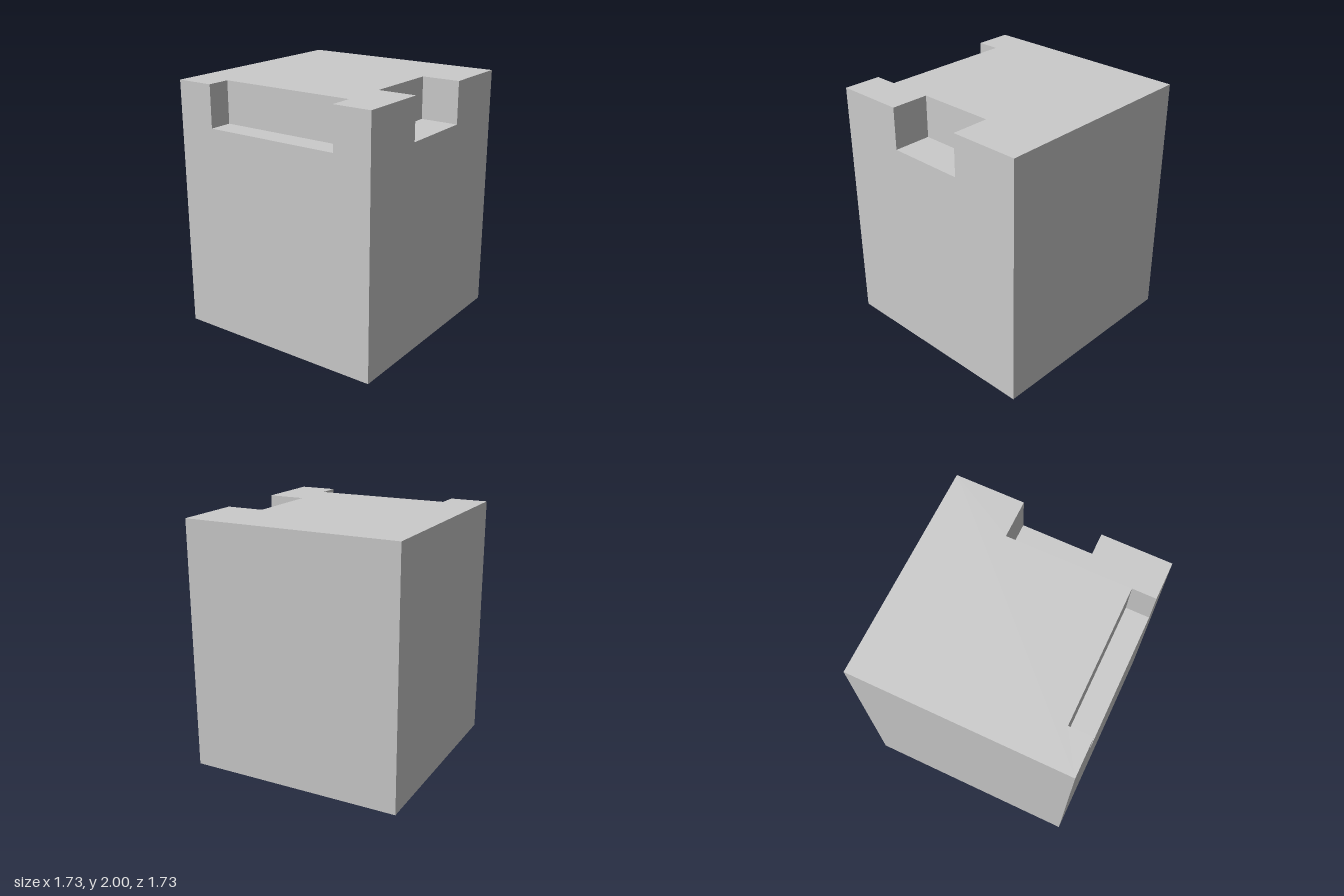
import * as THREE from 'three';

const H = 2, R = 0.863, FLOOR = 1.667, DROP = H - FLOOR;
const material = new THREE.MeshStandardMaterial({ color: 0xcccccc, side: THREE.DoubleSide, flatShading: true });

// Flat sheet in the xy plane, facing +z
function sheet(name, points) {
  const shape = new THREE.Shape(points.map(([x, y]) => new THREE.Vector2(x, y)));
  const mesh = new THREE.Mesh(new THREE.ShapeGeometry(shape), material);
  mesh.name = name;
  return mesh;
}

// Upright wall facing +z, with an optional notch of half width w in its top edge
function wall(name, w, angle) {
  const notch = w ? [[w, H], [w, FLOOR], [-w, FLOOR], [-w, H]] : [];
  const mesh = sheet(name, [[-R, 0], [R, 0], [R, H], ...notch, [-R, H]]);
  mesh.position.set(Math.sin(angle) * R, 0, Math.cos(angle) * R);
  mesh.rotation.y = angle;
  return mesh;
}

// Recess lining behind a notch: back, floor and two cheeks
function recess(name, w, depth, angle) {
  const group = new THREE.Group();
  group.name = name;
  const add = (part, width, height, position, rotation) => {
    const mesh = new THREE.Mesh(new THREE.PlaneGeometry(width, height), material);
    mesh.name = part;
    mesh.position.set(...position);
    mesh.rotation.set(...rotation);
    group.add(mesh);
  };
  const midY = (H + FLOOR) / 2, midZ = R - depth / 2;
  add('recessBack', 2 * w, DROP, [0, midY, R - depth], [0, 0, 0]);
  add('recessFloor', 2 * w, depth, [0, FLOOR, midZ], [-Math.PI / 2, 0, 0]);
  for (const s of [-1, 1]) add('recessCheek', depth, DROP, [s * w, midY, midZ], [0, -s * Math.PI / 2, 0]);
  group.rotation.y = angle;
  return group;
}

export function createModel() {
  const model = new THREE.Group();
  model.name = 'notchedBoxShell';
  const quarter = Math.PI / 2;
  const frontW = 0.557, frontD = 0.187, sideW = 0.311, sideD = 0.308;

  // Four thin walls around an open bottom
  model.add(
    wall('frontWall', frontW, 0),
    wall('leftWall', sideW, quarter),
    wall('backWall', 0, 2 * quarter),
    wall('rightWall', 0, -quarter),
  );

  // Recesses cut into the top edges
  model.add(recess('frontRecess', frontW, frontD, 0), recess('sideRecess', sideW, sideD, quarter));

  // Top sheet with both cut-outs (its y runs towards the back)
  const top = sheet('top', [
    [-R, -R], [-frontW, -R], [-frontW, frontD - R], [frontW, frontD - R], [frontW, -R], [R, -R],
    [R, -sideW], [R - sideD, -sideW], [R - sideD, sideW], [R, sideW], [R, R], [-R, R],
  ]);
  top.rotation.x = -quarter;
  top.position.y = H;
  model.add(top);
  return model;
}
